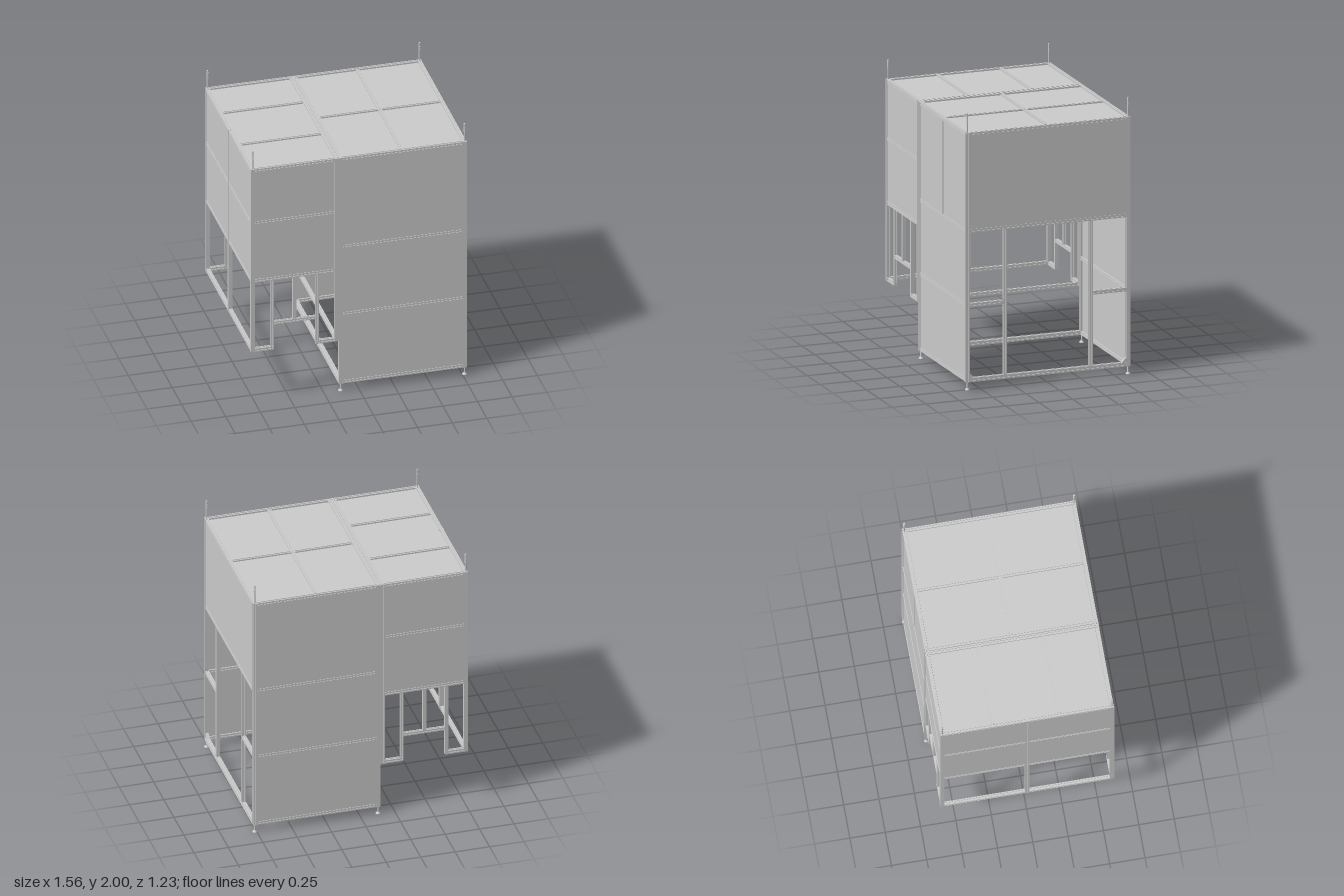
import * as THREE from 'three';

const mat = new THREE.MeshStandardMaterial({ color: 0xcccccc });
const W = 0.03;          // profile width
const X = 0.765;         // outer post centre in x
const Z = 0.6;           // outer post centre in z
const XB = -0.13;        // inner posts of the large module
const XS = -0.16;        // inner posts of the small module
const TOP = 1.86, LOW = 0.06, STEP = 0.405;

// Slotted aluminium section, built from one quarter turned four times
function section(w) {
  const quarter = [[0.5, 0.5], [0.13, 0.5], [0.13, 0.3], [-0.13, 0.3], [-0.13, 0.5]];
  const pts = [];
  for (let i = 0; i < 4; i++) {
    const c = Math.round(Math.cos(i * Math.PI / 2)), s = Math.round(Math.sin(i * Math.PI / 2));
    for (const [x, y] of quarter) pts.push(new THREE.Vector2((x * c - y * s) * w, (x * s + y * c) * w));
  }
  return new THREE.Shape(pts);
}

export function createModel() {
  const root = new THREE.Group();
  root.name = 'framedBooth';

  const add = (name, geo, x, y, z, parent = root) => {
    const m = new THREE.Mesh(geo, mat);
    m.name = name;
    m.position.set(x, y, z);
    parent.add(m);
    return m;
  };

  // Profile running along one axis from p, for a given length
  function bar(name, axis, p, length, w = W) {
    const g = new THREE.ExtrudeGeometry(section(w), { depth: length, bevelEnabled: false });
    if (axis === 'x') g.rotateY(Math.PI / 2);
    if (axis === 'y') g.rotateX(-Math.PI / 2);
    return add(name, g, ...p);
  }
  const post = (name, x, z, y0, y1, w) => bar(name, 'y', [x, y0, z], y1 - y0, w);
  const railX = (name, y, z, x0, x1, w) => bar(name, 'x', [x0, y, z], x1 - x0, w);
  const railZ = (name, y, x, z0, z1, w) => bar(name, 'z', [x, y, z0], z1 - z0, w);
  const panel = (name, x0, x1, y0, y1, z0, z1) =>
    add(name, new THREE.BoxGeometry(x1 - x0, y1 - y0, z1 - z0), (x0 + x1) / 2, (y0 + y1) / 2, (z0 + z1) / 2);

  const h = W / 2;
  const zi = Z - h;                    // clear half depth between posts
  const topY = TOP - 0.013;

  // Front and back walls
  for (const s of [1, -1]) {
    const z = s * Z;
    // large module
    post('largePost', X, z, LOW, TOP);
    post('largePost', XB, z, LOW, TOP);
    for (const y of [LOW + h, 0.615, 1.15, topY]) railX('largeWallRail', y, z, XB + h, X - h, 0.026);
    post('upperMullion', 0.315, z, 1.16, TOP - 0.025, 0.024);
    const pz = [z + s * 0.004 - 0.005, z + s * 0.004 + 0.005];
    panel('lowerWallPanel', XB + h, X - h, LOW, 0.615, ...pz);
    panel('middleWallPanel', XB + h, X - h, 0.615, 1.15, ...pz);
    panel('upperWallPanel', XB + h, X - h, 1.15, topY, ...pz);

    // small module
    post('smallPost', -X, z, STEP, TOP);
    post('smallPost', XS, z, STEP, TOP);
    for (const y of [0.97, 1.43, topY]) railX('smallWallRail', y, z, -X + h, XS - h, 0.026);
    panel('smallLowerPanel', -X + h, XS - h, 0.97, 1.43, ...pz);
    panel('smallUpperPanel', -X + h, XS - h, 1.43, topY, ...pz);

    // leg frames and the crossbar between them
    for (const x of [-0.625, -0.3]) post('legPost', x, z, STEP, 0.96, 0.024);
    railX('legFoot', STEP + 0.013, z, -X + h, -0.613, 0.026);
    railX('legFoot', STEP + 0.013, z, -0.312, XS - h, 0.026);
    railX('legCrossbar', 0.615, z, -0.613, -0.312, 0.024);
    post('crossbarPost', -0.465, z, 0.625, 0.96, 0.024);

    // right side doorway
    post('doorPost', X, s * 0.32, 0.09, 1.14, 0.026);
    railZ('doorSideRail', 0.615, X, s > 0 ? 0.333 : -zi, s > 0 ? zi : -0.333, 0.026);
  }

  // Right side
  railZ('rightBottomRail', LOW + h, X, -zi, zi);
  railZ('rightMiddleRail', 1.15, X, -zi, zi, 0.026);
  railZ('rightTopRail', topY, X, -zi, zi, 0.026);
  post('rightMullion', X, 0, 1.16, TOP - 0.025, 0.024);
  panel('rightPanel', X, X + 0.01, 1.15, topY, -zi, zi);

  // Inner frames where the two modules meet
  railZ('innerBottomRail', LOW + h, XB, -zi, zi);
  railZ('innerTopRail', topY, XB, -zi, zi, 0.026);
  railZ('innerTopRail', topY, XS, -zi, zi, 0.026);
  railZ('innerStepRail', STEP + 0.013, XS, -zi, zi, 0.026);

  // Left side
  post('leftMiddlePost', -X, 0, STEP, TOP);
  for (const y of [STEP + 0.013, 0.97, 1.43, topY]) railZ('leftRail', y, -X, -zi, zi, 0.026);
  for (const [z0, z1] of [[-zi, -h], [h, zi]]) {
    panel('leftLowerPanel', -X - 0.01, -X, 0.97, 1.43, z0, z1);
    panel('leftUpperPanel', -X - 0.01, -X, 1.43, topY, z0, z1);
  }

  // Roof
  panel('largeRoofPanel', XB + h, X - h, 1.84, 1.85, -zi, zi);
  panel('smallRoofPanel', -X + h, XS - h, 1.84, 1.85, -zi, zi);
  railX('largeRoofRail', topY, 0, XB + h, X - h, 0.026);
  railZ('largeRoofRail', topY, 0.315, -zi, zi, 0.026);
  for (const z of [-0.24, 0.23]) railX('smallRoofRail', topY, z, -X + h, XS - h, 0.026);

  // Levelling feet under the large module
  const footProfile = [[0, 0], [0.017, 0], [0.017, 0.006], [0.009, 0.015], [0.005, 0.018], [0.005, LOW], [0, LOW]]
    .map(p => new THREE.Vector2(...p));
  const footGeo = new THREE.LatheGeometry(footProfile, 16);
  for (const x of [X, XB]) for (const s of [1, -1]) add('levellingFoot', footGeo, x, 0, s * Z);

  // Corner gussets at the foot of the right side
  for (const s of [1, -1]) {
    const tri = new THREE.Shape([[0, 0], [0.035, 0], [0, 0.035]].map(p => new THREE.Vector2(...p)));
    const g = new THREE.ExtrudeGeometry(tri, { depth: 0.02, bevelEnabled: false });
    g.translate(0, 0, -0.01);
    add('cornerGusset', g, X, 0.09, s * zi).rotation.y = s * Math.PI / 2;
  }

  // Corner rods with ribbed tips
  const rodGeo = new THREE.CylinderGeometry(0.005, 0.005, 2 - TOP, 10);
  const ribGeo = new THREE.CylinderGeometry(0.007, 0.007, 0.008, 10);
  for (const x of [X, -X]) for (const s of [1, -1]) {
    const rod = new THREE.Group();
    rod.name = 'cornerRod';
    rod.position.set(x, 0, s * Z);
    root.add(rod);
    add('rodShaft', rodGeo, 0, (2 + TOP) / 2, 0, rod);
    for (let i = 0; i < 5; i++) add('rodRib', ribGeo, 0, 1.996 - i * 0.015, 0, rod);
  }

  return root;
}
